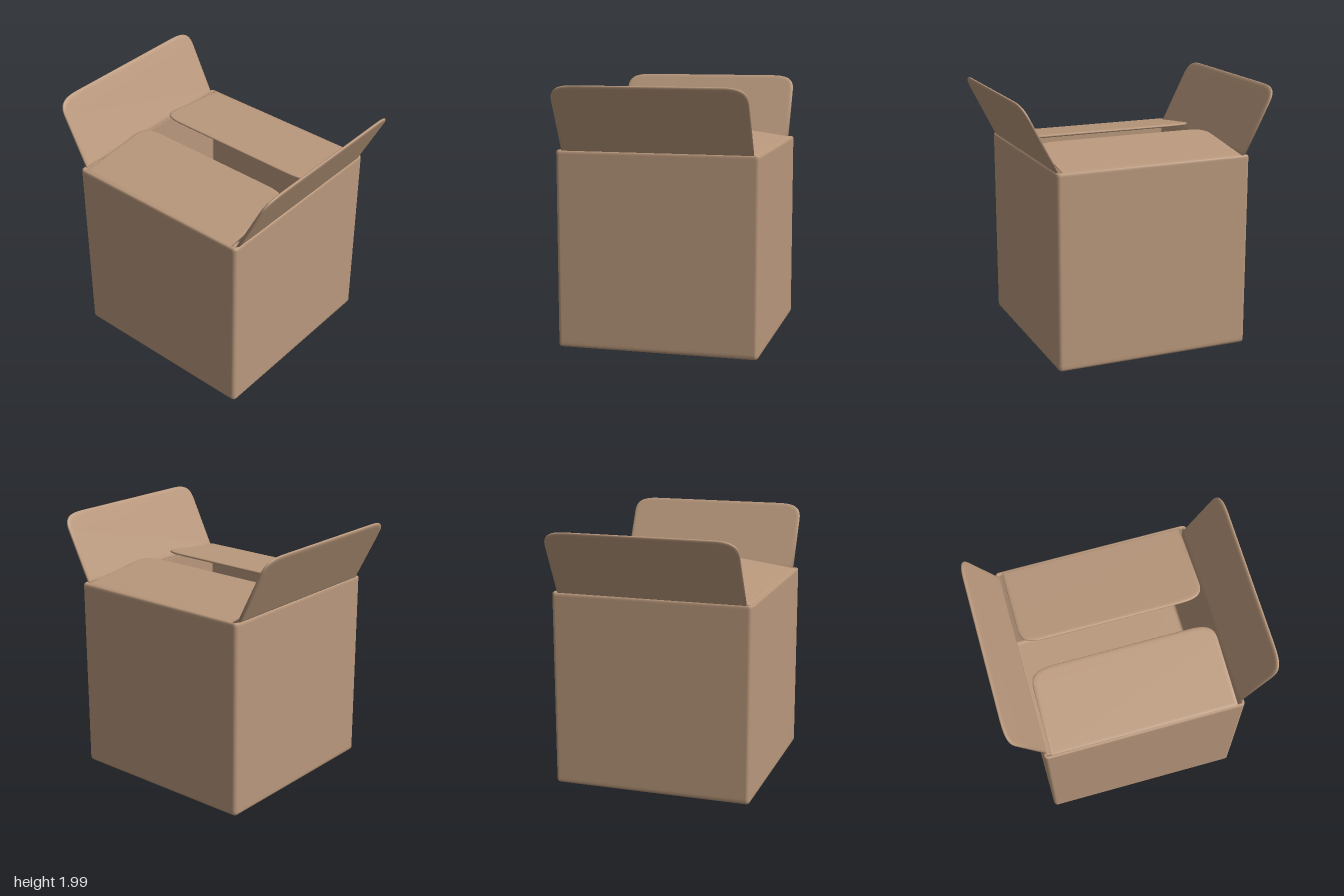
import * as THREE from 'three';
import { mergeVertices } from 'three/addons/utils/BufferGeometryUtils.js';

const cardboard = new THREE.MeshStandardMaterial({ color: 0xb9987c });
cardboard.name = 'cardboard';
cardboard.side = THREE.DoubleSide;

const HALF_X = 0.765, HALF_Z = 0.768, HEIGHT = 1.5, RADIUS = 0.03;

// one rounded-rectangle loop, running counter-clockwise seen from below
function ring(inset, y, segments = 4) {
  const r = Math.max(RADIUS - inset, 0.01);
  const points = [];
  for (let corner = 0; corner < 4; corner++) {
    const sx = corner === 0 || corner === 3 ? 1 : -1;
    const sz = corner < 2 ? 1 : -1;
    for (let i = 0; i <= segments; i++) {
      const a = (corner + i / segments) * Math.PI / 2;
      points.push([
        sx * (HALF_X - inset - r) + r * Math.cos(a), y,
        sz * (HALF_Z - inset - r) + r * Math.sin(a),
      ]);
    }
  }
  return points;
}

// hollow body: underside, outer wall, rounded rim, inner wall, floor
function bodyGeometry() {
  const profile = [
    [0.04, 0], [0.025, 0], [0.012, 0.004], [0.004, 0.012], [0, 0.025], [0, 0.045],
    [0, HEIGHT - 0.03], [0, HEIGHT - 0.014], [0.005, HEIGHT - 0.004], [0.014, HEIGHT],
    [0.022, HEIGHT - 0.004], [0.027, HEIGHT - 0.014], [0.027, HEIGHT - 0.03],
    [0.027, 0.06], [0.027, 0.045], [0.032, 0.035], [0.045, 0.03], [0.06, 0.03],
  ];
  const rings = profile.map(([inset, y]) => ring(inset, y));
  const n = rings[0].length;
  const positions = rings.flat(2);
  const index = [];
  for (let k = 0; k < rings.length - 1; k++) {
    for (let i = 0; i < n; i++) {
      const j = (i + 1) % n;
      const a = k * n + i, b = k * n + j, c = a + n, d = b + n;
      index.push(a, c, b, b, c, d);
    }
  }
  // flat caps for the underside and the inner floor
  const under = positions.length / 3, floor = under + 1, last = (rings.length - 1) * n;
  positions.push(0, 0, 0, 0, 0.03, 0);
  for (let i = 0; i < n; i++) {
    const j = (i + 1) % n;
    index.push(under, i, j);
    index.push(floor, last + j, last + i);
  }
  const geometry = new THREE.BufferGeometry();
  geometry.setAttribute('position', new THREE.Float32BufferAttribute(positions, 3));
  geometry.setIndex(index);
  geometry.computeVertexNormals();
  return geometry;
}

// soft-edged thin panel: hinge along y = 0, free edge with rounded corners
function flapGeometry(halfWidth, length) {
  const w = halfWidth, cx = 0.19, cy = 0.13;
  const shape = new THREE.Shape();
  shape.moveTo(-w, 0);
  shape.lineTo(w, 0);
  shape.lineTo(w, length - cy);
  shape.bezierCurveTo(w, length - 0.035, w - 0.05, length, w - cx, length);
  shape.lineTo(-w + cx, length);
  shape.bezierCurveTo(-w + 0.05, length, -w, length - 0.035, -w, length - cy);
  shape.closePath();
  const raw = new THREE.ExtrudeGeometry(shape, {
    depth: 0.006, curveSegments: 12, bevelEnabled: true,
    bevelThickness: 0.009, bevelSize: 0.03, bevelOffset: -0.03, bevelSegments: 4,
  });
  raw.translate(0, 0, -0.003);
  raw.deleteAttribute('normal');
  raw.deleteAttribute('uv');
  const geometry = mergeVertices(raw, 1e-4);
  geometry.computeVertexNormals();
  return geometry;
}

// places a flap on one wall; positive tilt leans outward
function addFlap(parent, name, geometry, turn, distance, tilt) {
  const pivot = new THREE.Group();
  pivot.name = name;
  pivot.rotation.y = turn;
  const mesh = new THREE.Mesh(geometry, cardboard);
  mesh.name = name + 'Panel';
  mesh.position.set(0, HEIGHT - 0.01, distance);
  mesh.rotation.x = tilt;
  pivot.add(mesh);
  parent.add(pivot);
}

export function createModel() {
  const model = new THREE.Group();
  model.name = 'openCardboardBox';

  const body = new THREE.Mesh(bodyGeometry(), cardboard);
  body.name = 'boxBody';
  model.add(body);

  // side flaps stand open, front and back flaps lean inward
  const sideFlap = flapGeometry(0.725, 0.56);
  const sideTilt = Math.atan2(0.25, 0.495);
  addFlap(model, 'leftFlap', sideFlap, Math.PI / 2, 0.743, sideTilt);
  addFlap(model, 'rightFlap', sideFlap, -Math.PI / 2, 0.743, sideTilt);

  const innerFlap = flapGeometry(0.71, 0.652);
  const innerTilt = -Math.atan2(0.645, 0.085);
  addFlap(model, 'frontFlap', innerFlap, 0, 0.755, innerTilt);
  addFlap(model, 'backFlap', innerFlap, Math.PI, 0.755, innerTilt);

  return model;
}
